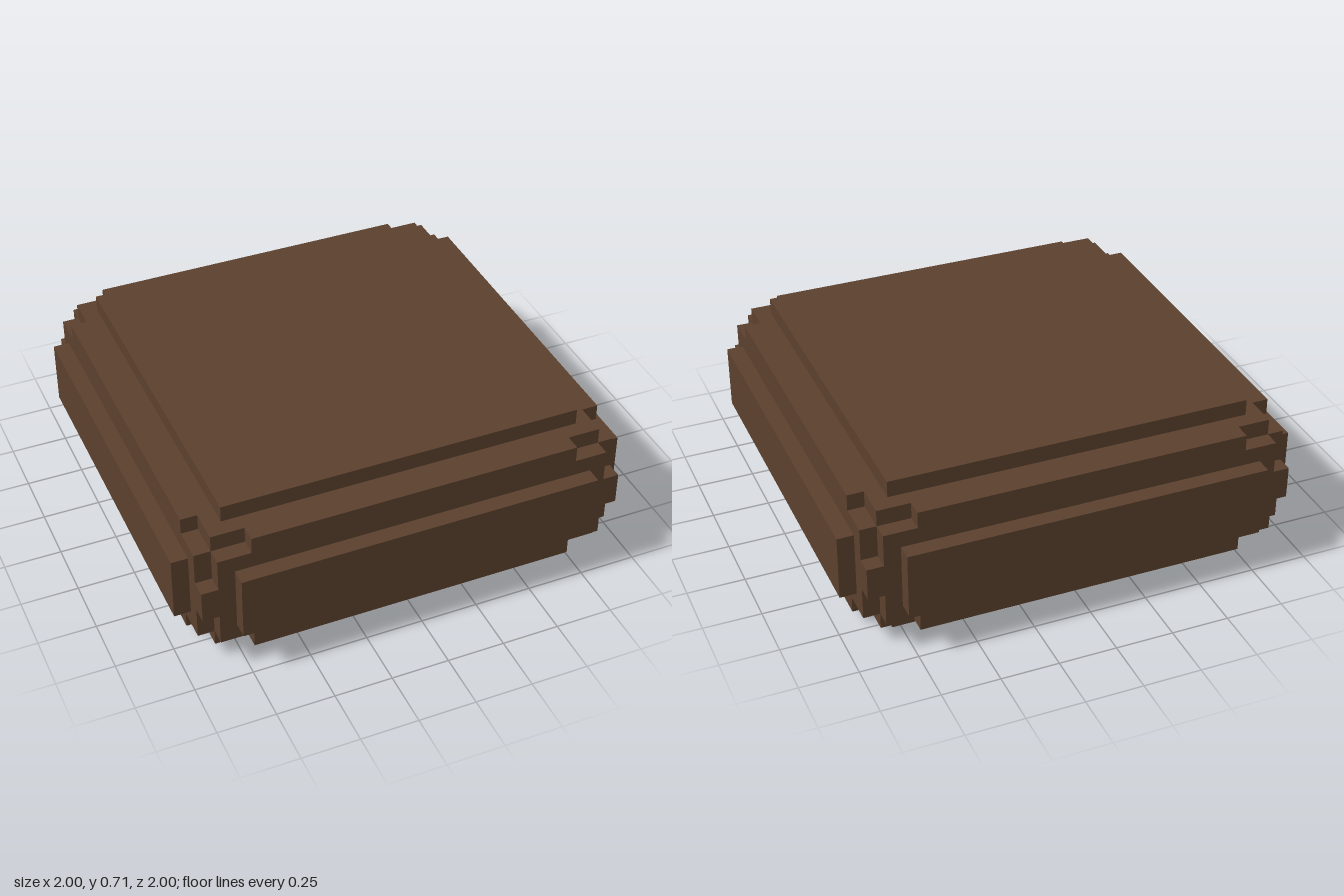
import * as THREE from 'three';

const U = 1 / 14; // one step of the blocky grid
const MID = 5; // height of the centre, in steps

// Grid lines of the core along x, y and z, in steps from its centre
const LINES = [
  [-13, -12, -10, 10, 12, 13],
  [-4, -3, -1, 1, 3, 4],
  [-13, -12, -10, 10, 12, 13],
];

// Core cells: 0 and 4 are outermost, 2 is the long middle.
// Three-armed notches along the edges are cut out of each corner.
function isSolid(cell) {
  if (cell.some((i) => i < 0 || i > 4)) return false;
  const outer = cell.filter((i) => i === 0 || i === 4).length;
  return outer < 2 || (outer === 2 && cell.includes(2));
}

// Skin of the core: one quad wherever a solid cell meets an empty one
function coreGeometry() {
  const positions = [];
  const addFace = (cell, axis, side) => {
    const u = (axis + 1) % 3;
    const v = (axis + 2) % 3;
    const corner = (du, dv) => {
      const p = [0, 0, 0];
      p[axis] = LINES[axis][cell[axis] + (side > 0 ? 1 : 0)] * U;
      p[u] = LINES[u][cell[u] + du] * U;
      p[v] = LINES[v][cell[v] + dv] * U;
      return p;
    };
    const [a, b, c, d] = [corner(0, 0), corner(1, 0), corner(1, 1), corner(0, 1)];
    const order = side > 0 ? [a, b, c, a, c, d] : [a, c, b, a, d, c];
    for (const p of order) positions.push(...p);
  };

  for (let x = 0; x < 5; x++) for (let y = 0; y < 5; y++) for (let z = 0; z < 5; z++) {
    const cell = [x, y, z];
    if (!isSolid(cell)) continue;
    for (let axis = 0; axis < 3; axis++) for (const side of [-1, 1]) {
      const next = [...cell];
      next[axis] += side;
      if (!isSolid(next)) addFace(cell, axis, side);
    }
  }

  const geometry = new THREE.BufferGeometry();
  geometry.setAttribute('position', new THREE.Float32BufferAttribute(positions, 3));
  geometry.computeVertexNormals();
  return geometry;
}

export function createModel() {
  const model = new THREE.Group();
  model.name = 'notchedBlock';
  const brown = new THREE.MeshStandardMaterial({ color: 0x5b402d });
  brown.name = 'darkBrown';

  const add = (name, geometry, x, y, z) => {
    const mesh = new THREE.Mesh(geometry, brown);
    mesh.name = name;
    mesh.position.set(x * U, (MID + y) * U, z * U);
    model.add(mesh);
  };
  const box = (w, h, d) => new THREE.BoxGeometry(w * U, h * U, d * U);

  add('core', coreGeometry(), 0, 0, 0);

  // Raised panels, one on each face of the core
  add('topPanel', box(22, 1, 22), 0, 4.5, 0);
  add('bottomPanel', box(22, 1, 22), 0, -4.5, 0);
  add('frontPanel', box(22, 4, 1), 0, 0, 13.5);
  add('backPanel', box(22, 4, 1), 0, 0, -13.5);
  add('leftPanel', box(1, 4, 22), 13.5, 0, 0);
  add('rightPanel', box(1, 4, 22), -13.5, 0, 0);

  return model;
}
